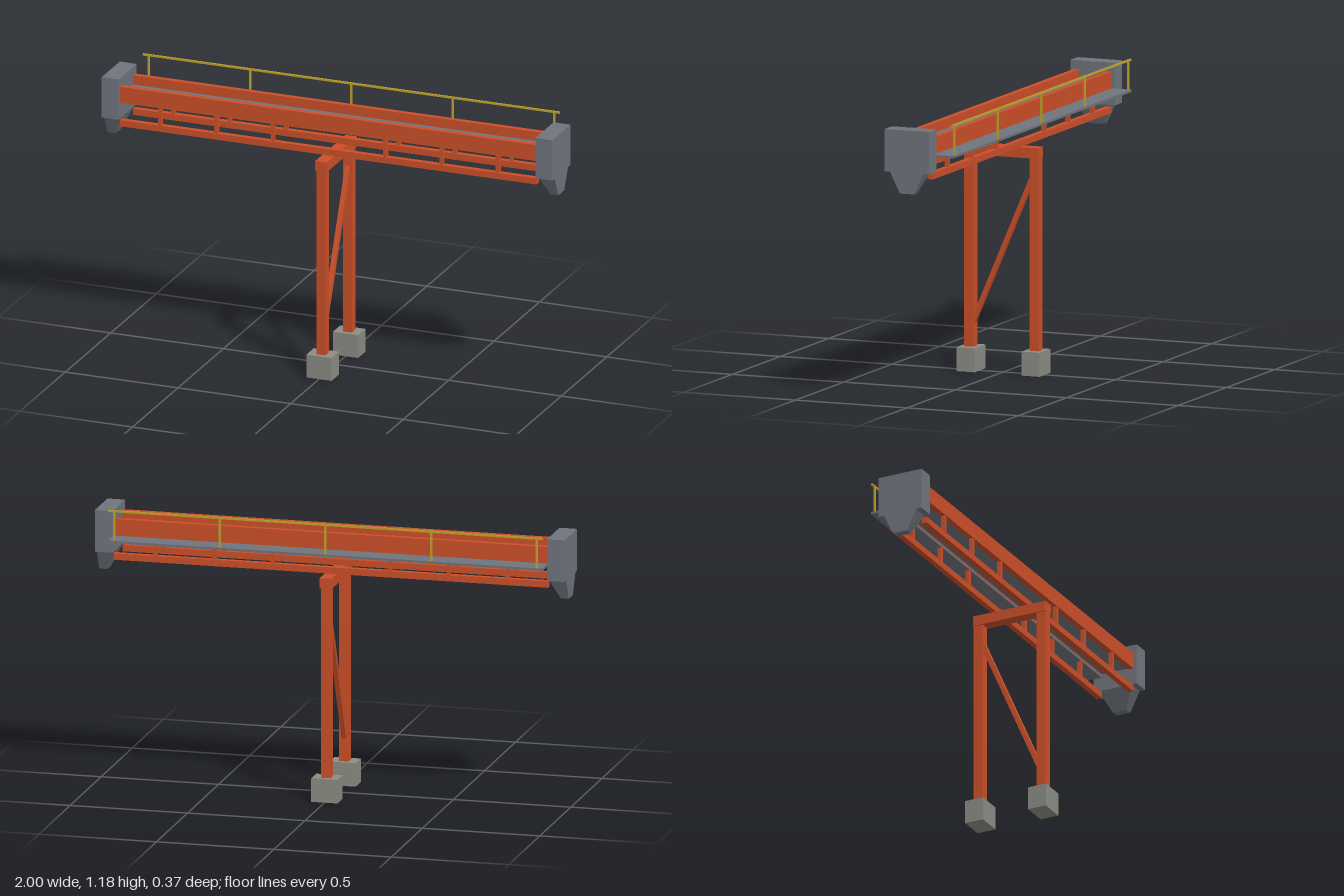
import * as THREE from 'three';

const mat = (name, color) => {
  const m = new THREE.MeshStandardMaterial({ color });
  m.name = name;
  return m;
};

export function createModel() {
  const orange = mat('orange steel', 0xcc4f28);
  const grey = mat('grey steel', 0x70757d);
  const concrete = mat('concrete', 0x8c8c84);
  const yellow = mat('yellow rail', 0xbfa32a);
  const root = new THREE.Group();
  root.name = 'beltConveyor';

  // Box given by its min and max on each axis
  const box = (name, material, [x0, x1], [y0, y1], [z0, z1], parent = root) => {
    const mesh = new THREE.Mesh(new THREE.BoxGeometry(x1 - x0, y1 - y0, z1 - z0), material);
    mesh.position.set((x0 + x1) / 2, (y0 + y1) / 2, (z0 + z1) / 2);
    mesh.name = name;
    parent.add(mesh);
    return mesh;
  };

  // Belt between the girders, and the walkway behind
  box('belt', grey, [-0.926, 0.926], [1.055, 1.08], [-0.062, 0.062]);
  box('walkway', grey, [-0.925, 0.925], [1.04, 1.05], [-0.174, -0.062]);

  // Side trusses: girder, lower rail and posts on both sides
  for (const s of [1, -1]) {
    const zs = s > 0 ? [0.061, 0.085] : [-0.085, -0.061];
    const zPost = s > 0 ? [0.064, 0.082] : [-0.082, -0.064];
    box('girder', orange, [-0.93, 0.93], [1.05, 1.12], zs);
    box('lowerRail', orange, [-0.925, 0.925], [0.947, 0.974], zs);
    for (const x of [-0.75, -0.5, -0.25, 0.25, 0.5, 0.75])
      box('trussPost', orange, [x - 0.008, x + 0.008], [0.97, 1.055], zPost);
  }

  // Handrail along the walkway
  box('handrail', yellow, [-0.925, 0.925], [1.171, 1.179], [-0.174, -0.166]);
  for (const x of [-0.9, -0.45, 0, 0.45, 0.9])
    box('handrailPost', yellow, [x - 0.004, x + 0.004], [1.05, 1.173], [-0.174, -0.166]);

  // End housings with tapered chutes, vertical on the outside
  for (const s of [1, -1]) {
    const xs = s > 0 ? [0.925, 1] : [-1, -0.925];
    box('endHousing', grey, xs, [0.98, 1.157], [-0.1, 0.1]);
    const chute = box('chute', grey, xs, [0.892, 0.98], [-0.075, 0.075]);
    const p = chute.geometry.attributes.position;
    for (let i = 0; i < p.count; i++) {
      if (p.getY(i) > 0) continue;
      p.setZ(i, Math.sign(p.getZ(i)) * 0.032);
      if (p.getX(i) * s < 0) p.setX(i, s * 0.0025);
    }
    chute.geometry.computeVertexNormals();
  }

  // Support trestle: legs, footings, crossbeam and diagonal brace
  for (const s of [1, -1]) {
    const span = (a, b) => (s > 0 ? [a, b] : [-b, -a]);
    box('leg', orange, [-0.02, 0.02], [0.09, 0.905], span(0.125, 0.167));
    box('footing', concrete, [-0.056, 0.056], [0, 0.1], span(0.105, 0.187));
  }
  box('crossbeam', orange, [-0.025, 0.025], [0.903, 0.947], [-0.168, 0.168]);
  const low = new THREE.Vector3(0, 0.19, 0.139);
  const high = new THREE.Vector3(0, 0.837, -0.139);
  const len = low.distanceTo(high);
  const brace = box('brace', orange, [-0.01, 0.01], [0, len], [-0.01, 0.01]);
  brace.position.copy(low).lerp(high, 0.5);
  brace.rotation.x = Math.atan2(high.z - low.z, high.y - low.y);

  return root;
}
